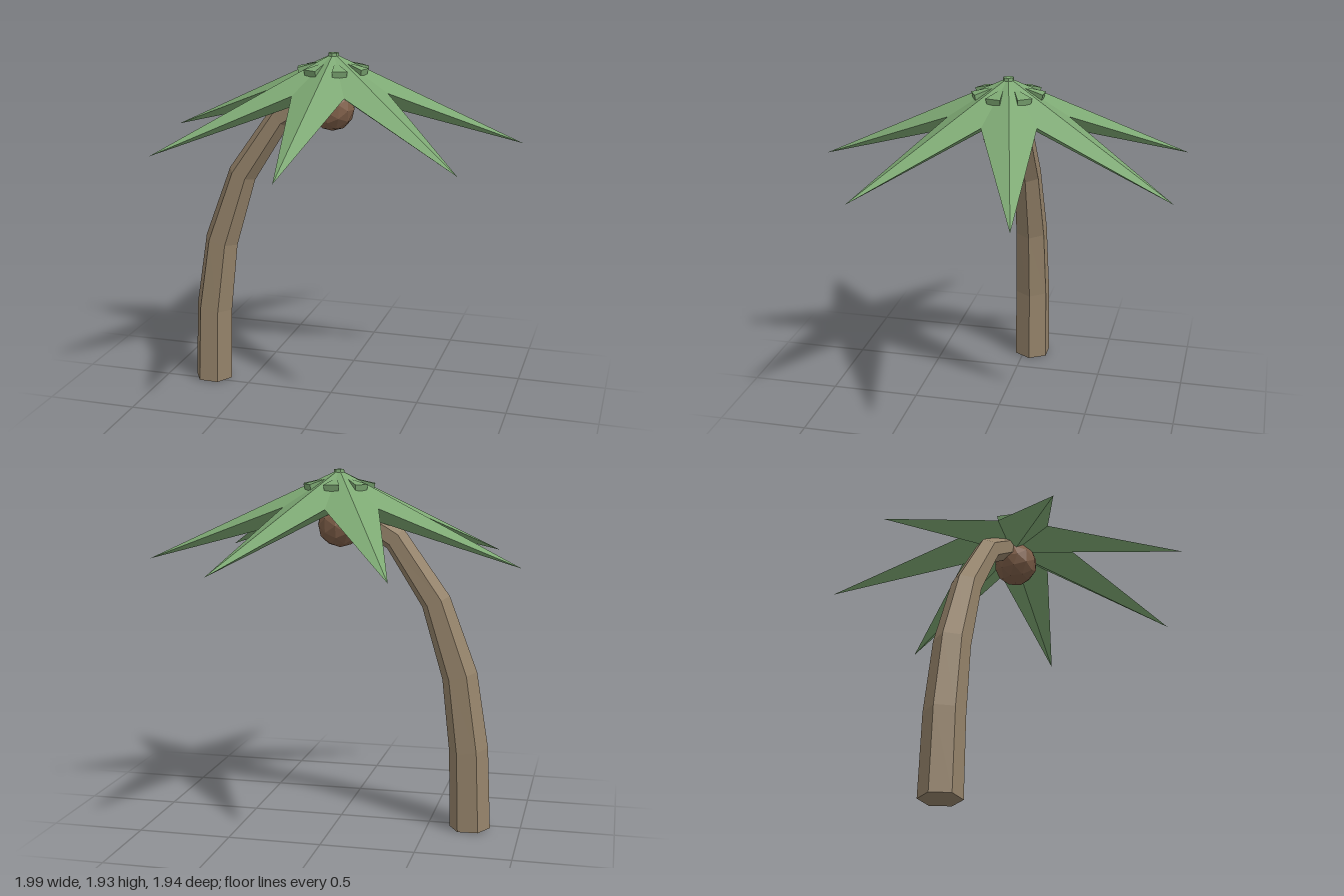
import * as THREE from 'three';

const CENTRE_Z = -0.05;

const flat = (color, name) => {
  const m = new THREE.MeshStandardMaterial({ color, flatShading: true });
  m.name = name;
  return m;
};

// Flat-faced geometry from a list of polygons, each fanned into triangles
function fromPolygons(polygons) {
  const pos = [];
  for (const p of polygons)
    for (let i = 1; i < p.length - 1; i++) pos.push(...p[0], ...p[i], ...p[i + 1]);
  const g = new THREE.BufferGeometry();
  g.setAttribute('position', new THREE.Float32BufferAttribute(pos, 3));
  g.computeVertexNormals();
  return g;
}

// Bent six-sided trunk: rings of [x, y, radius, tilt]
function trunkGeometry() {
  const rings = [
    [-0.73, 0.004, 0.11, 0.02], [-0.715, 0.44, 0.106, 0.14], [-0.66, 0.845, 0.096, 0.26],
    [-0.527, 1.24, 0.08, 0.4], [-0.305, 1.57, 0.069, 0.87], [-0.02, 1.745, 0.065, 0.95],
  ].map(([x, y, r, tilt]) => Array.from({ length: 6 }, (_, i) => {
    const a = i * Math.PI / 3, u = r * Math.cos(a);
    return [x + u * Math.cos(tilt), y - u * Math.sin(tilt), CENTRE_Z + r * Math.sin(a)];
  }));
  const faces = [rings[0], [...rings[rings.length - 1]].reverse()];
  for (let k = 0; k < rings.length - 1; k++)
    for (let i = 0; i < 6; i++) {
      const j = (i + 1) % 6;
      faces.push([rings[k][i], rings[k + 1][i], rings[k + 1][j], rings[k][j]]);
    }
  return fromPolygons(faces);
}

// Seven-pointed crown with ridged fronds above and a shallow keel below
function crownGeometry() {
  const top = [0, 1.93, 0], bottom = [0, 1.72, 0], faces = [];
  const rim = Array.from({ length: 14 }, (_, i) => {
    const a = i * Math.PI / 7, r = i % 2 ? 0.325 : 1.02;
    return [r * Math.sin(a), i % 2 ? 1.74 : 1.455, r * Math.cos(a)];
  });
  rim.forEach((p, i) => {
    const q = rim[(i + 1) % 14];
    faces.push([top, p, q], [bottom, q, p]);
  });
  return fromPolygons(faces);
}

// Small wedge that rises out of the valley between two fronds
function wedgeGeometry() {
  const iL = [-0.011, 1.881, 0.09], iR = [0.011, 1.881, 0.09];
  const oL = [-0.042, 1.857, 0.19], oR = [0.042, 1.857, 0.19];
  const bL = [-0.036, 1.815, 0.18], bR = [0.036, 1.815, 0.18];
  return fromPolygons([[iL, oL, oR, iR], [oL, bL, bR, oR], [iL, bL, oL], [iR, oR, bR]]);
}

export function createModel() {
  const bark = flat(0x95836a, 'bark brown');
  const leaf = flat(0x7da873, 'leaf green');
  const husk = flat(0x7f5f49, 'coconut brown');

  const model = new THREE.Group();
  model.name = 'palmTree';
  const add = (parent, name, geometry, material) => {
    const mesh = new THREE.Mesh(geometry, material);
    mesh.name = name;
    parent.add(mesh);
    return mesh;
  };

  add(model, 'trunk', trunkGeometry(), bark);

  const coconut = add(model, 'coconut', new THREE.IcosahedronGeometry(0.122, 1), husk);
  coconut.position.set(0, 1.637, -0.03);

  // Leaf crown with its wedges and centre bud
  const crown = new THREE.Group();
  crown.name = 'crown';
  crown.position.z = CENTRE_Z;
  model.add(crown);
  add(crown, 'fronds', crownGeometry(), leaf);
  const wedge = wedgeGeometry();
  for (let i = 0; i < 7; i++)
    add(crown, 'frondWedge', wedge, leaf).rotation.y = (2 * i + 1) * Math.PI / 7;
  add(crown, 'bud', new THREE.CylinderGeometry(0.028, 0.03, 0.02, 7), leaf).position.y = 1.922;

  return model;
}
